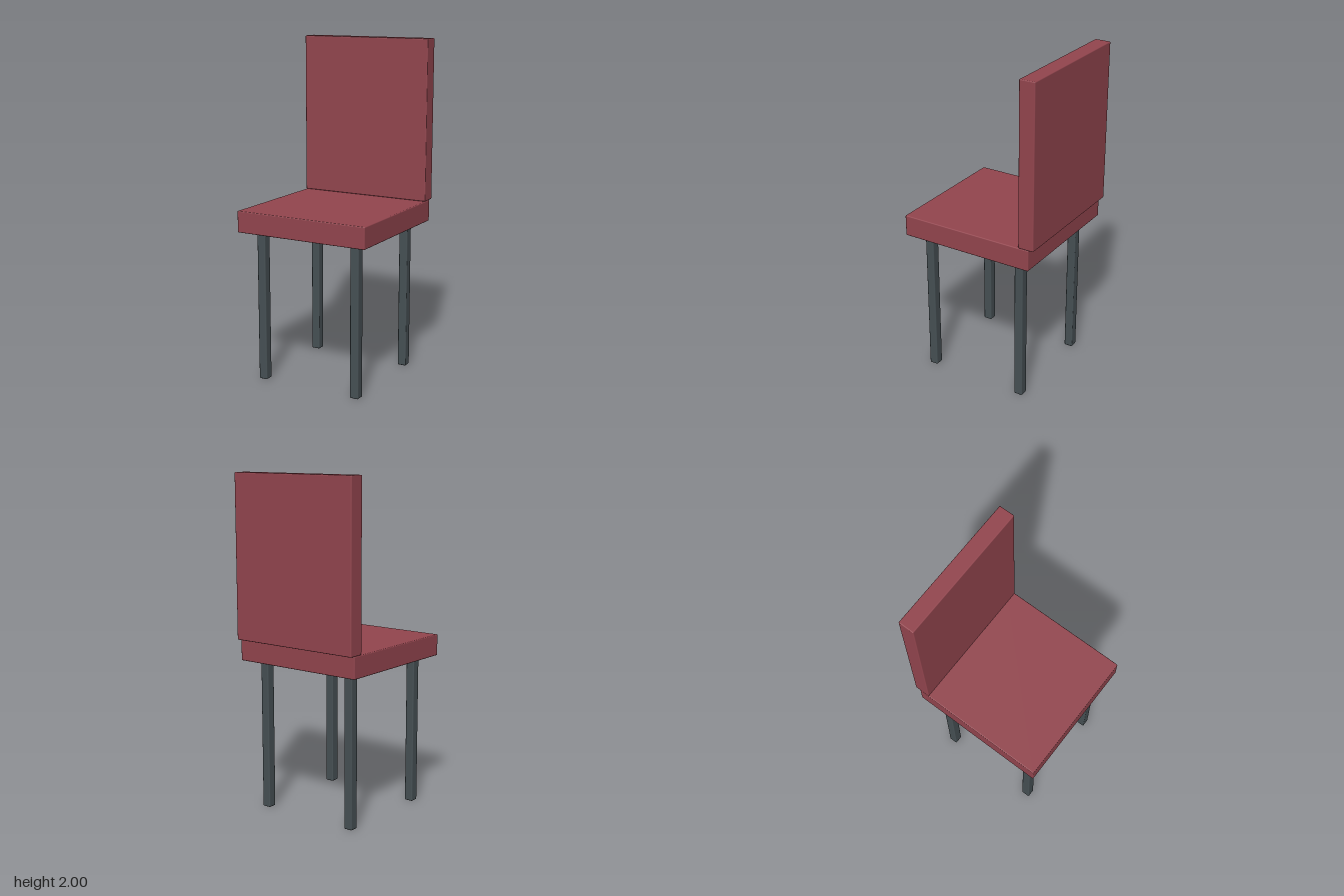
import * as THREE from 'three';
import { RoundedBoxGeometry } from 'three/addons/geometries/RoundedBoxGeometry.js';

export function createModel() {
  const group = new THREE.Group();
  group.name = 'chair';

  const upholstery = new THREE.MeshStandardMaterial({ color: 0x93454e });
  upholstery.name = 'red upholstery';
  const metal = new THREE.MeshStandardMaterial({ color: 0x465054 });
  metal.name = 'dark grey metal';

  // Softly edged block spanning two corners
  const block = (name, material, min, max, radius) => {
    const size = max.map((v, i) => v - min[i]);
    const mesh = new THREE.Mesh(new RoundedBoxGeometry(...size, 2, radius), material);
    mesh.position.set(...max.map((v, i) => (v + min[i]) / 2));
    mesh.name = name;
    group.add(mesh);
  };

  // Seat cushion and backrest, which overhangs the seat at the rear
  block('seat', upholstery, [-0.416, 0.906, -0.4], [0.416, 1.034, 0.431], 0.006);
  block('backrest', upholstery, [-0.416, 1.034, -0.431], [0.416, 2, -0.335], 0.006);

  // Four straight legs
  const half = 0.027;
  for (const [side, x] of [['Left', 0.309], ['Right', -0.309]]) {
    for (const [end, z] of [['front', 0.323], ['back', -0.291]]) {
      block(`${end}${side}Leg`, metal, [x - half, 0, z - half], [x + half, 0.914, z + half], 0.007);
    }
  }
  return group;
}
